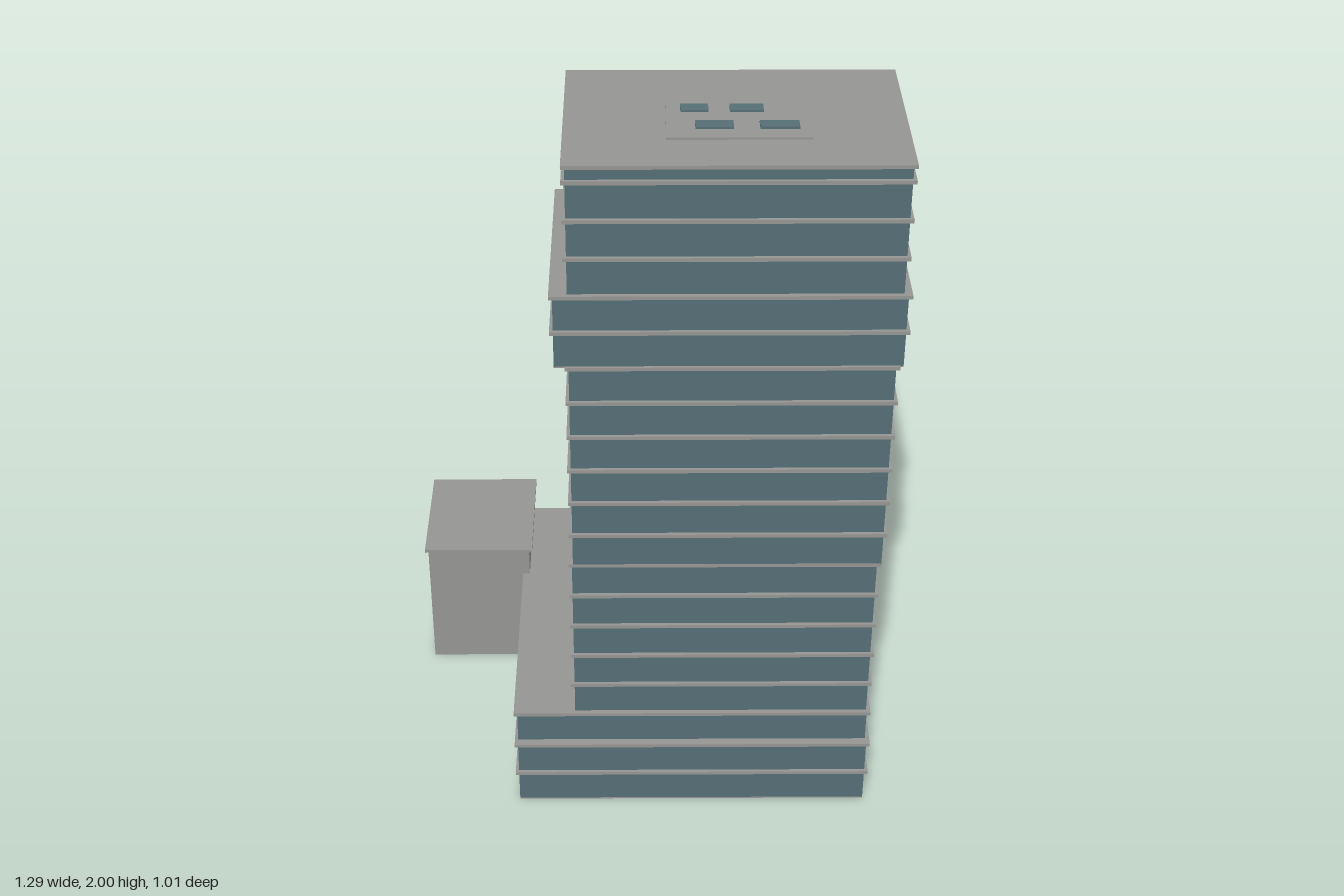
import * as THREE from 'three';

export function createModel() {
  const root = new THREE.Group();
  root.name = 'officeTower';
  const glass = new THREE.MeshStandardMaterial({ color: 0x566e75 });
  glass.name = 'blue grey glass';
  const concrete = new THREE.MeshStandardMaterial({ color: 0x959693 });
  concrete.name = 'grey concrete';

  // Box given by its limits on each axis
  function block(name, mat, [x0, x1], [y0, y1], [z0, z1], parent = root) {
    const mesh = new THREE.Mesh(new THREE.BoxGeometry(x1 - x0, y1 - y0, z1 - z0), mat);
    mesh.position.set((x0 + x1) / 2, (y0 + y1) / 2, (z0 + z1) / 2);
    mesh.name = name;
    parent.add(mesh);
  }

  const SLAB = 0.01; // thickness of floor slabs
  const LEDGE = 0.009; // overhang of floor slabs
  const BASE = 0.004; // concrete underside of each tier
  const grow = ([a, b]) => [a - LEDGE, b + LEDGE];

  // Glazed storeys on a concrete underside, with slab edges; the last slab is the tier's roof
  function tier(name, x, [y0, y1], z, ledges) {
    const g = new THREE.Group();
    g.name = name;
    root.add(g);
    block(name + 'Base', concrete, x, [y0, y0 + BASE], z, g);
    block(name + 'Glass', glass, x, [y0 + BASE, y1 - SLAB / 2], z, g);
    for (const top of ledges) {
      block(name + 'Slab', concrete, grow(x), [top - SLAB, top], grow(z), g);
    }
  }

  const F = 0.1022; // storey height
  const floors = (a, b) => Array.from({ length: b - a + 1 }, (_, i) => 0.006 + (a + i) * F);

  // Podium: two wide storeys and a set-back third
  tier('podium', [-0.352, 0.613], [0, 0.21], [-0.496, 0.494], floors(1, 2));
  tier('upperPodium', [-0.352, 0.61], [0.2, 0.312], [-0.459, 0.48], floors(3, 3));

  // Tower shaft, projecting band and crown
  tier('lowerTower', [-0.192, 0.608], [0.3, 0.823], [-0.026, 0.476], floors(4, 8));
  tier('middleTower', [-0.189, 0.618], [0.815, 1.436], [-0.028, 0.484], floors(9, 14));
  tier('projectingBand', [-0.225, 0.635], [1.432, 1.64], [-0.054, 0.486], [1.54, 1.64]);
  tier('crown', [-0.189, 0.624], [1.63, 1.988], [-0.031, 0.483], [...floors(17, 19), 1.988]);

  // Roof platform with skylights
  block('roofPlatform', concrete, [0.05, 0.398], [1.98, 1.994], [0.174, 0.357]);
  const skylights = [
    [0.086, 0.154, 0.183], [0.206, 0.288, 0.183],
    [0.12, 0.212, 0.276], [0.275, 0.37, 0.276],
  ];
  for (const [x0, x1, z] of skylights) block('skylight', glass, [x0, x1], [1.993, 2], [z, z + 0.036]);

  // Concrete annex at the back corner
  const ax = [-0.64, -0.341], az = [-0.481, -0.137], roofY = 0.408;
  block('annexWalls', concrete, ax, [0, roofY - SLAB], az);
  block('annexRoof', concrete, grow(ax), [roofY - SLAB, roofY], grow(az));

  // Tall narrow windows on the two outer annex walls
  const count = 5, thin = 0.0012, half = 0.015, sill = [0.03, 0.345];
  for (let i = 0; i < count; i++) {
    const t = (i + 0.5) / count;
    const cx = ax[0] + t * (ax[1] - ax[0]);
    const cz = az[0] + t * (az[1] - az[0]);
    block('annexBackWindow', glass, [cx - half, cx + half], sill, [az[0] - thin, az[0] + thin]);
    block('annexSideWindow', glass, [ax[0] - thin, ax[0] + thin], sill, [cz - half, cz + half]);
  }
  return root;
}
